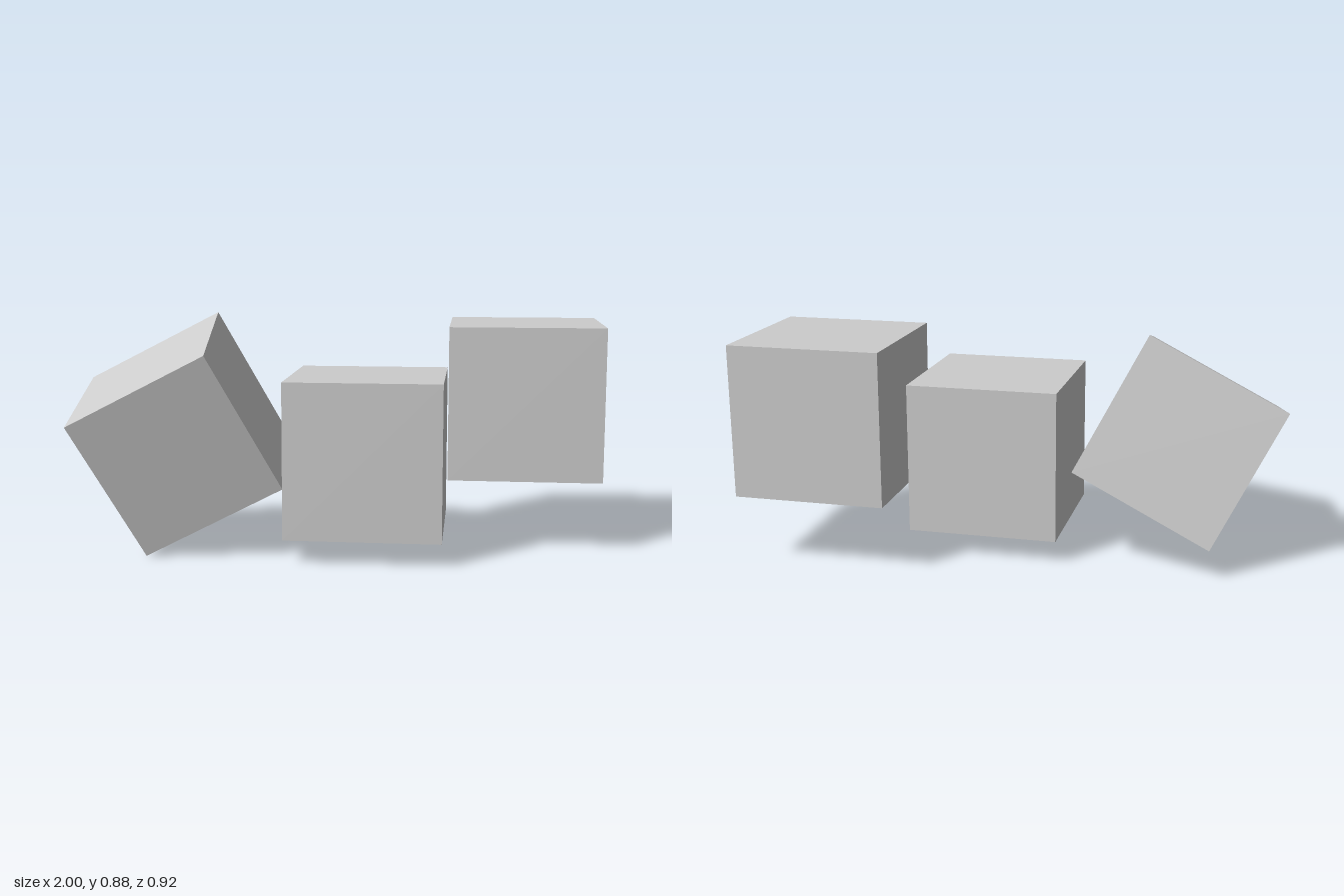
import * as THREE from 'three';

const SIZE = 0.577;

export function createModel() {
  const group = new THREE.Group();
  const material = new THREE.MeshStandardMaterial({ color: 0xcccccc, flatShading: true });
  const geometry = new THREE.BoxGeometry(SIZE, SIZE, SIZE);

  const addCube = (name, x, y, z) => {
    const cube = new THREE.Mesh(geometry, material);
    cube.name = name;
    cube.position.set(x, y, z);
    group.add(cube);
    return cube;
  };

  // Two upright cubes, stepped up and back
  addCube('middleCube', 0.124, 0.376, 0.099);
  addCube('leftCube', 0.712, 0.557, -0.174);

  // Cube tipped forward, then rolled, standing on one corner
  const tilted = addCube('tiltedCube', -0.587, 0.441, 0.115);
  tilted.rotation.set(THREE.MathUtils.degToRad(13.3), 0, THREE.MathUtils.degToRad(27.2), 'ZXY');

  return group;
}
